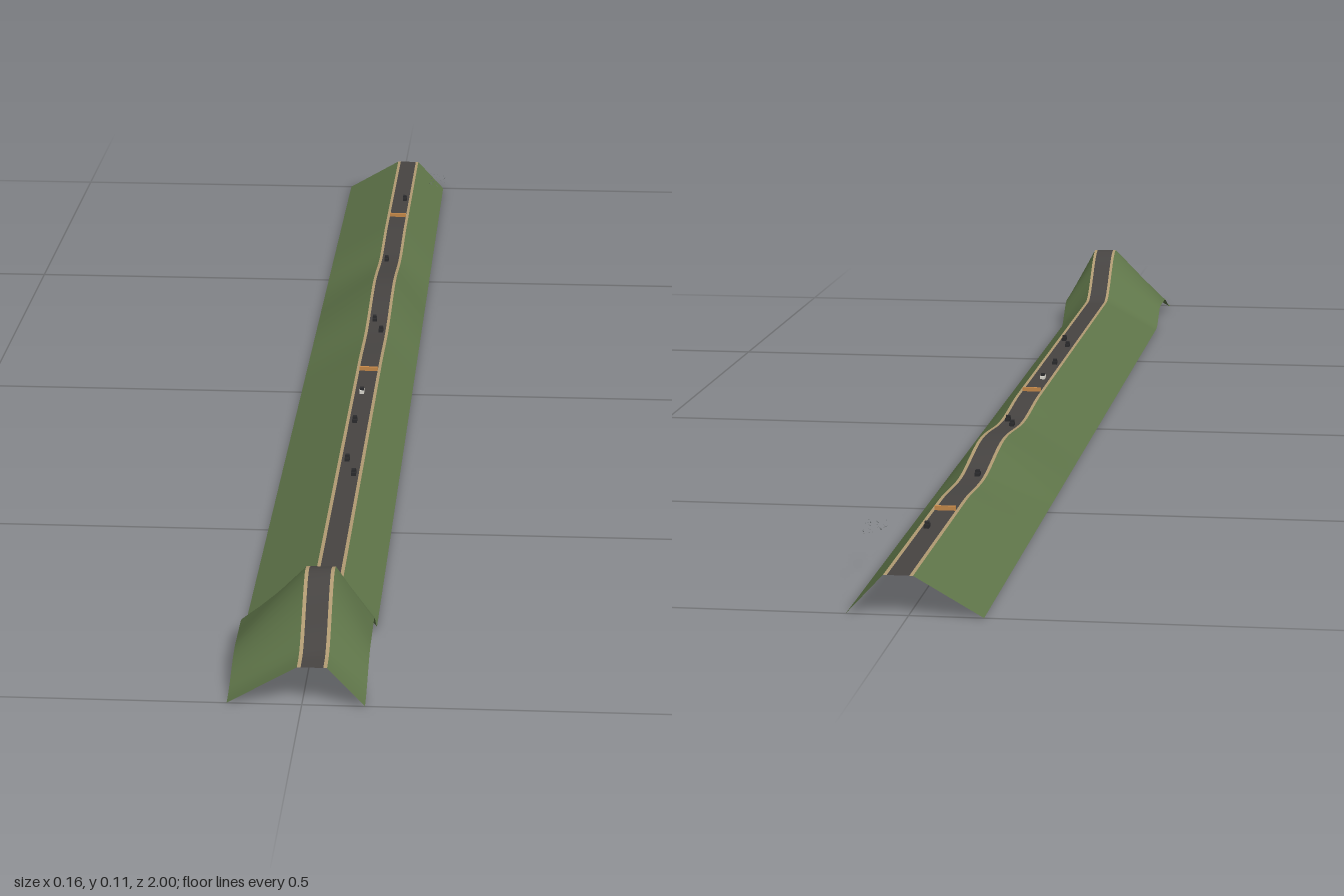
import * as THREE from 'three';

const mat = (name, color, side = THREE.FrontSide) => {
  const m = new THREE.MeshStandardMaterial({ color, side });
  m.name = name;
  return m;
};

// Smooth height curve through [z, y] points
function heightCurve(points) {
  return (z) => {
    if (z <= points[0][0]) return points[0][1];
    for (let i = 1; i < points.length; i++) {
      const [z0, y0] = points[i - 1], [z1, y1] = points[i];
      if (z <= z1) return y0 + (y1 - y0) * THREE.MathUtils.smoothstep(z, z0, z1);
    }
    return points[points.length - 1][1];
  };
}

const roadY = heightCurve([[-0.64, 0.044], [-0.5, 0.038], [-0.33, 0.052], [-0.14, 0.039], [0, 0.044],
  [0.76, 0.044], [0.88, 0.107], [0.98, 0.045], [1, 0.044]]);
const leftBaseY = heightCurve([[0.78, 0.001], [0.84, 0.033], [0.9, 0.03], [1, 0.001]]);
const rightBaseY = heightCurve([[0.78, 0.001], [0.84, 0.027], [0.9, 0.026], [1, 0.001]]);

// Long ribbon between two edges, each with a fixed x and a height rule
function ribbon(name, material, xa, ya, xb, yb) {
  const n = 200, pos = [], idx = [];
  for (let i = 0; i <= n; i++) {
    const z = -1 + (2 * i) / n;
    pos.push(xa, ya(z), z, xb, yb(z), z);
    if (i < n) {
      const k = i * 2;
      idx.push(k, k + 2, k + 1, k + 1, k + 2, k + 3);
    }
  }
  const g = new THREE.BufferGeometry();
  g.setAttribute('position', new THREE.Float32BufferAttribute(pos, 3));
  g.setIndex(idx);
  g.computeVertexNormals();
  const mesh = new THREE.Mesh(g, material);
  mesh.name = name;
  return mesh;
}

export function createModel() {
  const model = new THREE.Group();
  model.name = 'roadOnEmbankment';
  const grass = mat('grass green', 0x5f7549, THREE.DoubleSide);
  const asphalt = mat('asphalt grey', 0x474442, THREE.DoubleSide);
  const kerb = mat('kerb tan', 0xb09a72, THREE.DoubleSide);
  const orange = mat('barrier orange', 0xc98b4a);
  const white = mat('car white', 0xdedbd2);
  const dark = mat('car dark', 0x2c2c2e);
  const birdGrey = mat('bird grey', 0x6a6e70, THREE.DoubleSide);

  // Embankment slopes, road deck and kerb strips
  model.add(
    ribbon('rightBank', grass, -0.08, rightBaseY, -0.005, roadY),
    ribbon('leftBank', grass, 0.027, roadY, 0.067, leftBaseY),
    ribbon('rightKerb', kerb, -0.005, roadY, -0.001, roadY),
    ribbon('road', asphalt, -0.001, roadY, 0.023, roadY),
    ribbon('leftKerb', kerb, 0.023, roadY, 0.027, roadY),
  );

  // Small cars: body and cabin
  const body = new THREE.BoxGeometry(0.006, 0.004, 0.013);
  const cabin = new THREE.BoxGeometry(0.005, 0.003, 0.006);
  const cars = [[0.42, 0.017, dark], [0.37, 0.006, dark], [0.23, 0.006, dark], [0.12, 0.008, white],
    [-0.15, 0.017, dark], [-0.19, 0.006, dark], [-0.48, 0.006, dark], [-0.78, 0.017, dark]];
  for (const [z, x, paint] of cars) {
    const car = new THREE.Group();
    car.name = 'car';
    const lower = new THREE.Mesh(body, paint);
    lower.name = 'carBody';
    lower.position.y = 0.0025;
    const upper = new THREE.Mesh(cabin, dark);
    upper.name = 'carCabin';
    upper.position.y = 0.006;
    car.add(lower, upper);
    car.position.set(x, roadY(z), z);
    model.add(car);
  }

  // Low barriers across the road
  for (const z of [0.03, -0.69]) {
    const bar = new THREE.Mesh(new THREE.BoxGeometry(0.024, 0.005, 0.004), orange);
    bar.name = 'barrier';
    bar.position.set(0.011, roadY(z) + 0.0025, z);
    model.add(bar);
  }

  // Flock of tiny birds, each a pair of raised wings
  const wings = new THREE.BufferGeometry();
  wings.setAttribute('position', new THREE.Float32BufferAttribute(
    [0, 0, 0.0008, 0.0022, 0.001, -0.0004, 0, 0, -0.0008, 0, 0, 0.0008, 0, 0, -0.0008, -0.0022, 0.001, -0.0004], 3));
  wings.computeVertexNormals();
  const flock = new THREE.Group();
  flock.name = 'birdFlock';
  for (let i = 0; i < 22; i++) {
    const bird = new THREE.Mesh(wings, birdGrey);
    bird.name = 'bird';
    bird.position.set(0.064 + 0.011 * Math.sin(i * 2.4), 0.059 + 0.003 * Math.sin(i * 4.1), -0.875 + i * 0.0028);
    bird.rotation.y = i * 0.7;
    flock.add(bird);
  }
  model.add(flock);
  return model;
}
